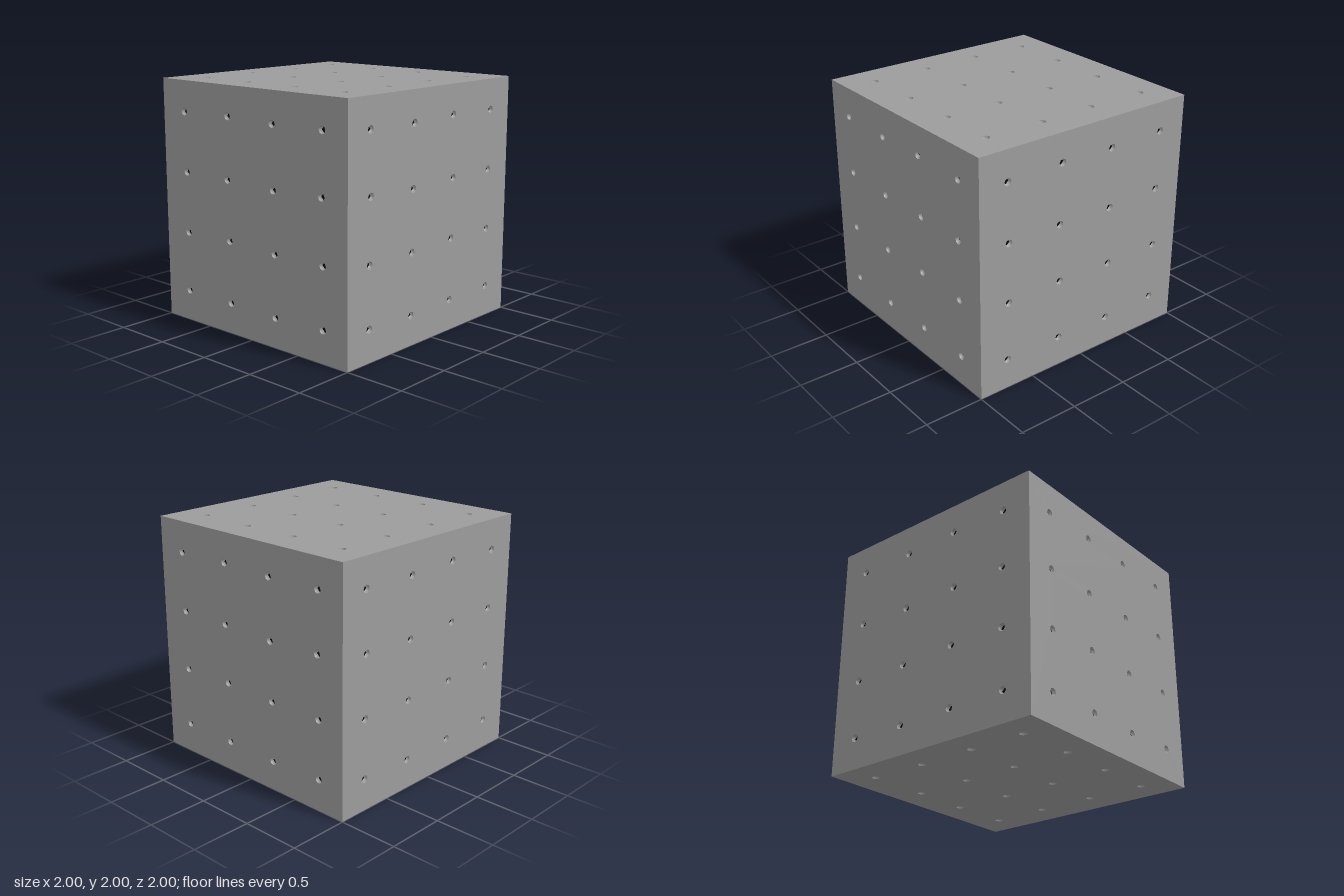
import * as THREE from 'three';
import { mergeGeometries } from 'three/addons/utils/BufferGeometryUtils.js';

const RIM = 0.032, FLOOR = 0.027, DEPTH = 0.03;

// Slightly uneven 4 x 4 layouts of pit centres, one row per line, top row first
const SIDE_PITS = [
  [-0.755, 0.755], [-0.248, 0.747], [0.24, 0.758], [0.748, 0.747],
  [-0.747, 0.265], [-0.252, 0.245], [0.254, 0.256], [0.737, 0.256],
  [-0.757, -0.246], [-0.26, -0.25], [0.242, -0.235], [0.737, -0.247],
  [-0.757, -0.737], [-0.26, -0.755], [0.24, -0.747], [0.747, -0.745],
];
const TOP_PITS = [
  [-0.743, 0.76], [-0.25, 0.757], [0.261, 0.747], [0.75, 0.759],
  [-0.76, 0.262], [-0.255, 0.264], [0.24, 0.255], [0.742, 0.248],
  [-0.753, -0.239], [-0.241, -0.239], [0.25, -0.253], [0.753, -0.239],
  [-0.75, -0.744], [-0.252, -0.737], [0.25, -0.737], [0.742, -0.744],
];
const mirrored = (pits) => pits.map(([u, v]) => [-u, v]);

// Square panel with an eight-sided opening at every pit
function panelGeometry(pits) {
  const shape = new THREE.Shape([[-1, -1], [1, -1], [1, 1], [-1, 1]].map(([x, y]) => new THREE.Vector2(x, y)));
  for (const [u, v] of pits) {
    const points = [];
    for (let i = 0; i < 8; i++) {
      const a = -i * Math.PI / 4;
      points.push(new THREE.Vector2(u + RIM * Math.cos(a), v + RIM * Math.sin(a)));
    }
    shape.holes.push(new THREE.Path(points));
  }
  return new THREE.ShapeGeometry(shape).translate(0, 0, 1);
}

// Tapered cup sunk into the panel
function cupGeometry([u, v]) {
  const profile = [[RIM, 0], [FLOOR, -DEPTH], [0, -DEPTH]].map(([r, y]) => new THREE.Vector2(r, y));
  return new THREE.LatheGeometry(profile, 8).rotateX(Math.PI / 2).translate(u, v, 1);
}

// Diamond at the bottom of a cup
function diamondGeometry([u, v]) {
  return new THREE.CircleGeometry(FLOOR * 0.95, 4).translate(u, v, 1 - DEPTH + 0.004);
}

export function createModel() {
  const grey = new THREE.MeshStandardMaterial({ color: 0x9c9c9c, side: THREE.DoubleSide });
  grey.name = 'grey';
  const black = new THREE.MeshStandardMaterial({ color: 0x0c0c0c });
  black.name = 'black';

  const model = new THREE.Group();
  model.name = 'pittedCube';

  const H = Math.PI / 2;
  const faces = [
    ['front', 0, 0, SIDE_PITS],
    ['left', 0, H, mirrored(SIDE_PITS)],
    ['back', 0, 2 * H, SIDE_PITS],
    ['right', 0, -H, mirrored(SIDE_PITS)],
    ['top', -H, 0, TOP_PITS],
    ['bottom', H, 0, TOP_PITS.map(([u, v]) => [u, -v])],
  ];

  for (const [name, rx, ry, pits] of faces) {
    const face = new THREE.Group();
    face.name = name + 'Face';
    const add = (part, geometry, material) => {
      const mesh = new THREE.Mesh(geometry, material);
      mesh.name = name + part;
      face.add(mesh);
    };
    add('Panel', panelGeometry(pits), grey);
    add('PitWalls', mergeGeometries(pits.map(cupGeometry)), grey);
    add('PitFloors', mergeGeometries(pits.map(diamondGeometry)), black);
    face.rotation.set(rx, ry, 0);
    face.position.y = 1;
    model.add(face);
  }
  return model;
}
